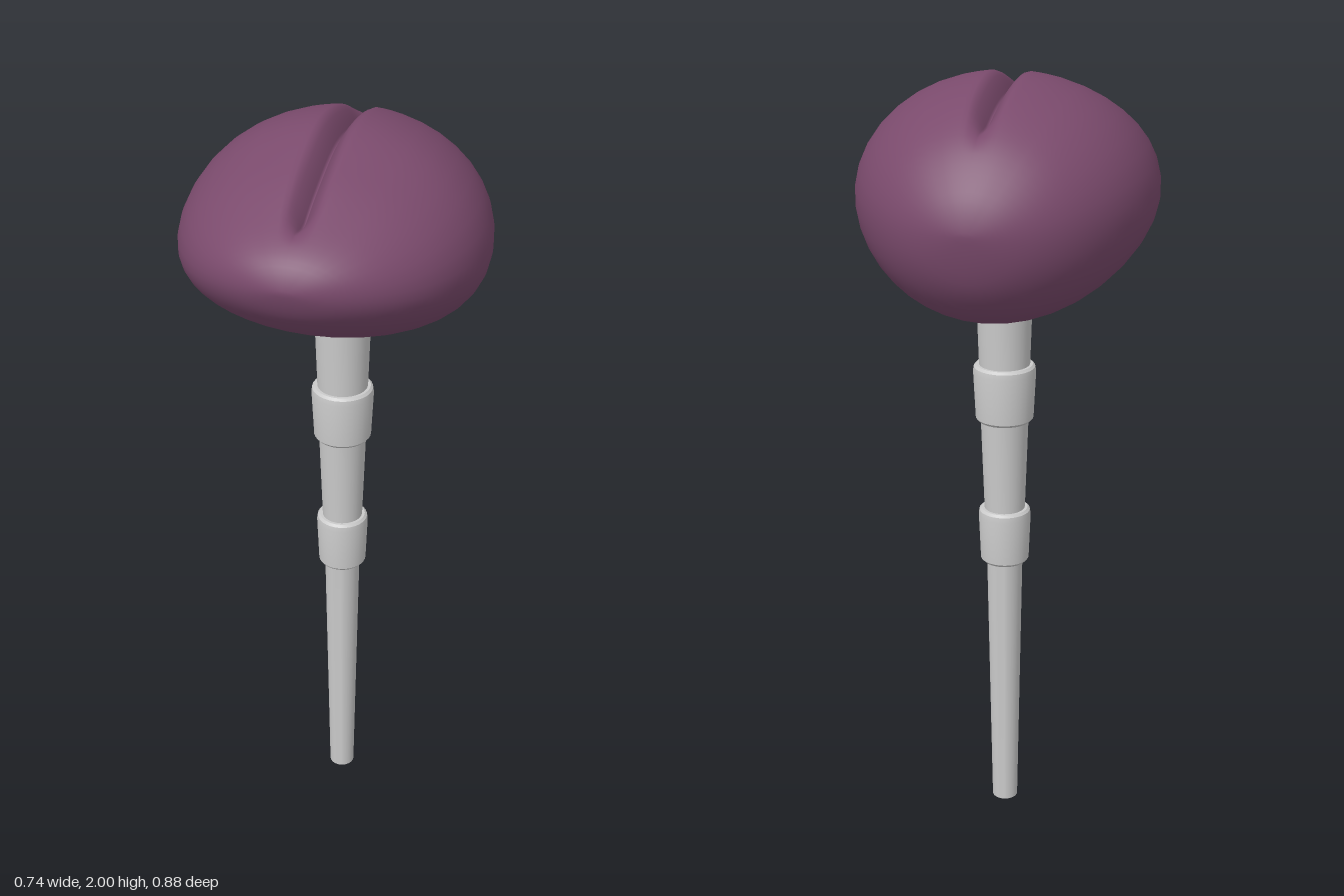
import * as THREE from 'three';
import { mergeVertices, toCreasedNormals } from 'three/addons/utils/BufferGeometryUtils.js';

const STEM_Z = -0.05;

// Smooth curve through evenly spaced values, sampled with t in 0..1
function sampler(values) {
  const curve = new THREE.SplineCurve(values.map((v, i) => new THREE.Vector2(i, v)));
  return (t) => curve.getPoint(t).y;
}

// Rounded head, lofted from rings running front to back, with a groove along the top
function headGeometry() {
  const top = sampler([1.77, 1.835, 1.893, 1.955, 1.998, 1.975, 1.903, 1.795, 1.70]);
  const bottom = sampler([1.77, 1.69, 1.61, 1.53, 1.46, 1.43, 1.466, 1.563, 1.70]);
  const middle = sampler([1.77, 1.76, 1.74, 1.725, 1.71, 1.71, 1.70, 1.69, 1.70]);
  const smooth = THREE.MathUtils.smoothstep;

  // Angles from the top down one side, closely spaced at the groove, then mirrored
  const half = [0, 0.012, 0.03, 0.05, 0.075, 0.1, 0.13, 0.17, 0.23, 0.32];
  for (let k = 1; k <= 17; k++) half.push(0.32 + (Math.PI - 0.32) * k / 17);
  const angles = [...half, ...half.slice(1, -1).reverse().map((a) => 2 * Math.PI - a)];

  const rings = 48, n = angles.length, points = [], index = [];
  for (let i = 0; i <= rings; i++) {
    const t = i / rings, phi = t * Math.PI;
    const z = 0.4375 * Math.cos(phi), width = 0.37 * Math.sin(phi);
    const depth = 0.06 * smooth(z, -0.34, -0.2) * (1 - smooth(z, 0.26, 0.37));
    const mid = middle(t);
    for (const a of angles) {
      const x = width * Math.sin(a), c = Math.cos(a);
      let y = mid + c * (c > 0 ? top(t) - mid : mid - bottom(t));
      if (c > 0) y -= depth * Math.pow(Math.max(0, 1 - Math.abs(x) / 0.045), 1.6);
      points.push(x, y, z);
    }
  }
  for (let i = 0; i < rings; i++) {
    for (let j = 0; j < n; j++) {
      const a = i * n + j, b = i * n + (j + 1) % n;
      if (i > 0) index.push(a, b, a + n);
      if (i < rings - 1) index.push(b, b + n, a + n);
    }
  }
  let geo = new THREE.BufferGeometry();
  geo.setAttribute('position', new THREE.Float32BufferAttribute(points, 3));
  geo.setIndex(index);
  geo = mergeVertices(geo, 1e-5);
  geo.computeVertexNormals();
  return geo;
}

export function createModel() {
  const group = new THREE.Group();
  const purple = new THREE.MeshStandardMaterial({ color: 0x7a4a6c });
  purple.name = 'plum';
  const grey = new THREE.MeshStandardMaterial({ color: 0xcacaca });
  grey.name = 'light grey';

  const add = (name, geo, material, z = 0) => {
    const mesh = new THREE.Mesh(geo, material);
    mesh.name = name;
    mesh.position.z = z;
    group.add(mesh);
  };
  const turned = (name, profile) => {
    const lathe = new THREE.LatheGeometry(profile.map(([r, y]) => new THREE.Vector2(r, y)), 32);
    add(name, toCreasedNormals(lathe, 0.6), grey, STEM_Z);
  };

  add('head', headGeometry(), purple);

  // Tapered stem sections
  turned('lowerStem', [[0, 0], [0.034, 0], [0.047, 0.75], [0, 0.75]]);
  turned('middleStem', [[0, 0.86], [0.052, 0.86], [0.062, 1.15], [0, 1.15]]);
  turned('upperStem', [[0, 1.25], [0.064, 1.25], [0.072, 1.5], [0, 1.5]]);

  // Collars with softened rims
  const collar = (name, y0, y1, r0, r1) => turned(name, [
    [0, y0], [r0 - 0.006, y0], [r0, y0 + 0.007],
    [r1, y1 - 0.02], [r1 - 0.002, y1 - 0.006], [r1 - 0.008, y1], [0, y1],
  ]);
  collar('lowerCollar', 0.73, 0.88, 0.063, 0.068);
  collar('upperCollar', 1.125, 1.275, 0.074, 0.08);

  return group;
}
